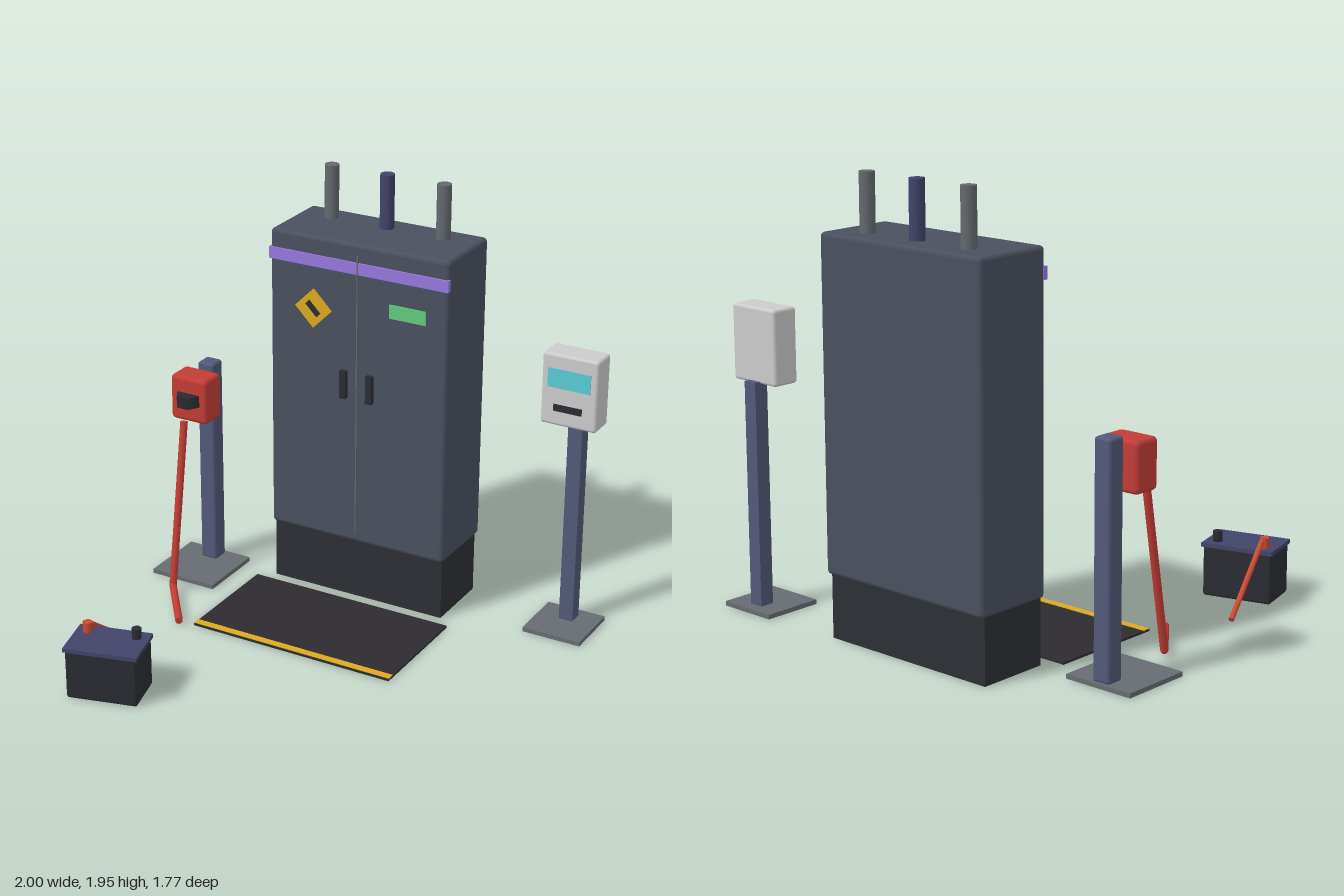
import * as THREE from 'three';
import { RoundedBoxGeometry } from 'three/addons/geometries/RoundedBoxGeometry.js';

const paint = (color) => new THREE.MeshStandardMaterial({ color });
const M = {
  cabinet: paint(0x4a505f), plinth: paint(0x2c2f34), steel: paint(0x64696e), navy: paint(0x41446a),
  post: paint(0x525878), plate: paint(0x666c72), purple: paint(0x9678dc), yellow: paint(0xdcaa20),
  green: paint(0x60cc80), dark: paint(0x2a2c32), mat: paint(0x2d2b2f), red: paint(0xc23c35),
  copper: paint(0xcc4a32), white: paint(0xd6d6d6), cyan: paint(0x5accd4),
};

function add(parent, name, geometry, material, x = 0, y = 0, z = 0) {
  const mesh = new THREE.Mesh(geometry, material);
  mesh.name = name;
  mesh.position.set(x, y, z);
  parent.add(mesh);
  return mesh;
}

// Box given by its limits on each axis; a radius rounds the edges
function box(parent, name, material, [x0, x1], [y0, y1], [z0, z1], radius = 0) {
  const size = [x1 - x0, y1 - y0, z1 - z0];
  const geometry = radius ? new RoundedBoxGeometry(...size, 2, radius) : new THREE.BoxGeometry(...size);
  return add(parent, name, geometry, material, (x0 + x1) / 2, (y0 + y1) / 2, (z0 + z1) / 2);
}

// Straight round rod between two points
function rod(parent, name, material, from, to, radius) {
  const a = new THREE.Vector3(...from), b = new THREE.Vector3(...to);
  const dir = b.clone().sub(a);
  const mesh = add(parent, name, new THREE.CylinderGeometry(radius, radius, dir.length(), 10), material);
  mesh.position.copy(a).add(b).multiplyScalar(0.5);
  mesh.quaternion.setFromUnitVectors(new THREE.Vector3(0, 1, 0), dir.normalize());
  return mesh;
}

function section(parent, name) {
  const group = new THREE.Group();
  group.name = name;
  parent.add(group);
  return group;
}

function buildCabinet(root) {
  const g = section(root, 'cabinet');
  box(g, 'plinth', M.plinth, [-0.5, 0.355], [0, 0.285], [-0.86, -0.535]);
  box(g, 'cabinetBody', M.cabinet, [-0.51, 0.365], [0.28, 1.7], [-0.885, -0.517], 0.02);
  box(g, 'topBand', M.purple, [-0.511, 0.366], [1.565, 1.618], [-0.53, -0.508]);
  box(g, 'doorSeam', M.steel, [-0.073, -0.067], [0.33, 1.65], [-0.525, -0.506]);
  for (const x of [-0.135, -0.005])
    box(g, 'doorHandle', M.dark, [x - 0.015, x + 0.015], [0.98, 1.11], [-0.52, -0.494]);
  box(g, 'statusLabel', M.green, [0.085, 0.26], [1.395, 1.458], [-0.522, -0.511]);

  // Warning diamond with a slanted bar
  const sign = section(g, 'warningSign');
  sign.position.set(-0.29, 1.37, -0.515);
  sign.rotation.z = -Math.PI / 4;
  add(sign, 'signPlate', new THREE.BoxGeometry(0.128, 0.128, 0.012), M.yellow);
  add(sign, 'signBar', new THREE.BoxGeometry(0.078, 0.027, 0.012), M.dark, 0, 0, 0.003);

  // Conduits on the roof
  [-0.345, -0.07, 0.205].forEach((x, i) =>
    add(g, 'conduit', new THREE.CylinderGeometry(0.032, 0.032, 0.26, 16), i === 1 ? M.navy : M.steel, x, 1.815, -0.77));
}

function buildMat(root) {
  const g = section(root, 'floorMat');
  box(g, 'mat', M.mat, [-0.565, 0.42], [0, 0.01], [-0.47, 0.074]);
  box(g, 'matStripe', M.yellow, [-0.565, 0.42], [0.002, 0.013], [0.036, 0.07]);
}

function buildCharger(root) {
  const g = section(root, 'charger');
  box(g, 'chargerBase', M.plate, [-1, -0.675], [0, 0.02], [-0.58, -0.255]);
  box(g, 'chargerPost', M.post, [-0.882, -0.798], [0.015, 1.005], [-0.568, -0.484], 0.014);
  box(g, 'chargerBox', M.red, [-0.935, -0.745], [0.77, 0.985], [-0.47, -0.34], 0.02);
  const bracket = add(g, 'cableBracket', new THREE.CylinderGeometry(0.058, 0.058, 0.055, 6), M.dark, -0.838, 0.883, -0.338);
  bracket.rotation.y = Math.PI / 6;

  // Hanging cable bent along the floor
  const bend = [-0.815, 0.035, -0.14];
  rod(g, 'hangingCable', M.red, [-0.84, 0.788, -0.302], bend, 0.017);
  rod(g, 'floorCable', M.red, bend, [-0.62, 0.025, 0.11], 0.017);
  add(g, 'cableBend', new THREE.SphereGeometry(0.017, 10, 8), M.red, ...bend);
}

function buildMeter(root) {
  const g = section(root, 'meter');
  box(g, 'meterBase', M.plate, [0.725, 1], [0, 0.02], [-0.885, -0.61]);
  box(g, 'meterPost', M.post, [0.829, 0.895], [0.015, 1], [-0.833, -0.767]);
  box(g, 'meterBox', M.white, [0.733, 0.992], [0.99, 1.317], [-0.806, -0.68], 0.014);
  box(g, 'meterScreen', M.cyan, [0.762, 0.96], [1.165, 1.252], [-0.69, -0.677]);
  box(g, 'cardSlot', M.dark, [0.795, 0.925], [1.06, 1.09], [-0.69, -0.674]);
}

function buildBattery(root) {
  const g = section(root, 'battery');
  g.position.set(-0.565, 0, 0.733);
  g.rotation.y = Math.PI / 12;
  box(g, 'batteryCase', M.dark, [-0.157, 0.157], [0, 0.226], [-0.104, 0.104], 0.012);
  box(g, 'batteryLid', M.navy, [-0.163, 0.163], [0.222, 0.24], [-0.111, 0.111]);
  for (const [x, material] of [[-0.109, M.copper], [0.109, M.dark]])
    add(g, 'terminal', new THREE.CylinderGeometry(0.021, 0.021, 0.05, 12), material, x, 0.262, -0.057);
  rod(root, 'batteryLead', M.copper, [-0.682, 0.272, 0.69], [-0.781, 0.027, 0.35], 0.012);
}

export function createModel() {
  const root = new THREE.Group();
  root.name = 'chargingStation';
  for (const build of [buildCabinet, buildMat, buildCharger, buildMeter, buildBattery]) build(root);
  return root;
}
